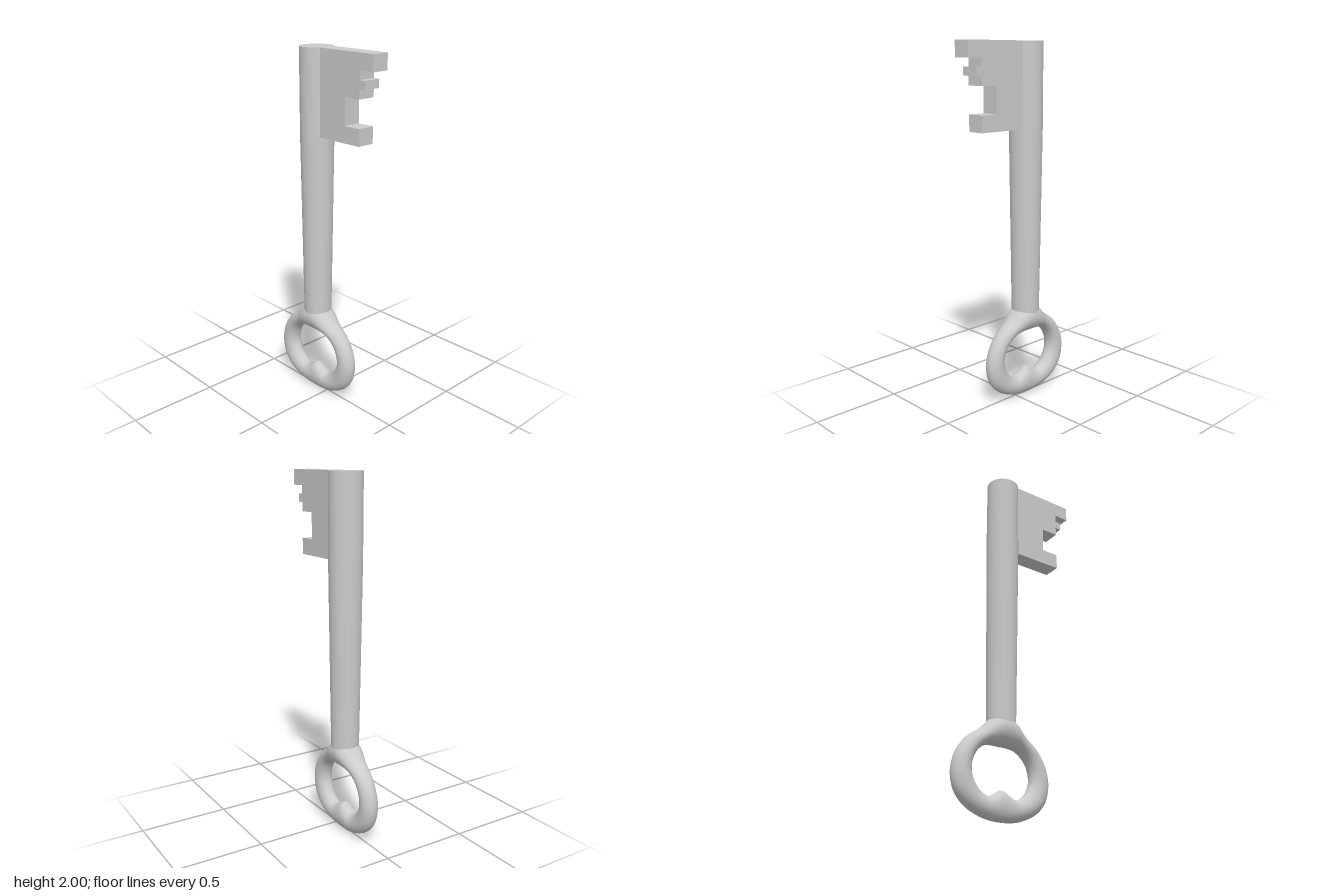
import * as THREE from 'three';

const AXIS = -0.08; // x of the shaft and bow centre line
const material = new THREE.MeshStandardMaterial({ color: 0xcccccc });

function addMesh(group, name, geometry, x = 0, y = 0, z = 0) {
  const mesh = new THREE.Mesh(geometry, material);
  mesh.name = name;
  mesh.position.set(x, y, z);
  group.add(mesh);
}

// Closed ring of elliptical sections spanning an inner and an outer outline
function bowGeometry() {
  // inner x, inner y, outer x, outer y, half depth: top to bottom, one side
  const half = [
    [0, 0.385, 0, 0.56, 0.083],
    [0.06, 0.385, 0.065, 0.525, 0.077],
    [0.11, 0.372, 0.13, 0.463, 0.06],
    [0.155, 0.33, 0.21, 0.403, 0.052],
    [0.178, 0.275, 0.268, 0.32, 0.05],
    [0.178, 0.22, 0.29, 0.22, 0.05],
    [0.155, 0.17, 0.268, 0.125, 0.05],
    [0.12, 0.135, 0.21, 0.06, 0.05],
    [0.08, 0.12, 0.135, 0.022, 0.05],
    [0.045, 0.135, 0.07, 0.005, 0.05],
    [0, 0.16, 0, 0, 0.05],
  ];
  const mirrored = half.slice(1, -1).reverse().map(([a, b, c, d, e]) => [-a, b, -c, d, e]);
  const stations = [...half, ...mirrored];
  const curve = (f) => new THREE.CatmullRomCurve3(stations.map(f), true, 'catmullrom', 0.5);
  const inner = curve((s) => new THREE.Vector3(s[0], s[1], 0));
  const outer = curve((s) => new THREE.Vector3(s[2], s[3], s[4])); // z carries half depth

  const U = 100, V = 28, positions = [], index = [];
  for (let i = 0; i < U; i++) {
    const a = inner.getPoint(i / U), b = outer.getPoint(i / U);
    for (let j = 0; j < V; j++) {
      const t = (j / V) * Math.PI * 2, k = (1 + Math.cos(t)) / 2;
      positions.push(a.x + (b.x - a.x) * k, a.y + (b.y - a.y) * k, b.z * Math.sin(t));
      const i2 = (i + 1) % U, j2 = (j + 1) % V;
      const p = i * V + j, q = i * V + j2, r = i2 * V + j, s = i2 * V + j2;
      index.push(p, q, r, q, s, r);
    }
  }
  const geometry = new THREE.BufferGeometry();
  geometry.setAttribute('position', new THREE.Float32BufferAttribute(positions, 3));
  geometry.setIndex(index);
  geometry.computeVertexNormals();
  return geometry;
}

// Flat notched plate
function bitGeometry() {
  const outline = [
    [-0.01, 1.54], [0.28, 1.54], [0.28, 1.63], [0.18, 1.63], [0.18, 1.775],
    [0.28, 1.775], [0.28, 1.825], [0.315, 1.825], [0.315, 1.87], [0.28, 1.87],
    [0.28, 1.915], [0.367, 1.915], [0.367, 2], [-0.01, 2],
  ];
  const shape = new THREE.Shape(outline.map(([x, y]) => new THREE.Vector2(x, y)));
  return new THREE.ExtrudeGeometry(shape, { depth: 0.1, bevelEnabled: false });
}

export function createModel() {
  const key = new THREE.Group();
  key.name = 'key';

  // Straight upper shaft, then a gentle taper down to the bow
  addMesh(key, 'shaftTip', new THREE.CylinderGeometry(0.092, 0.092, 0.46, 48), AXIS, 1.77);
  addMesh(key, 'shaft', new THREE.CylinderGeometry(0.092, 0.078, 1.04, 48), AXIS, 1.02);

  addMesh(key, 'bit', bitGeometry(), 0, 0, -0.05);
  addMesh(key, 'bow', bowGeometry(), AXIS);
  return key;
}
